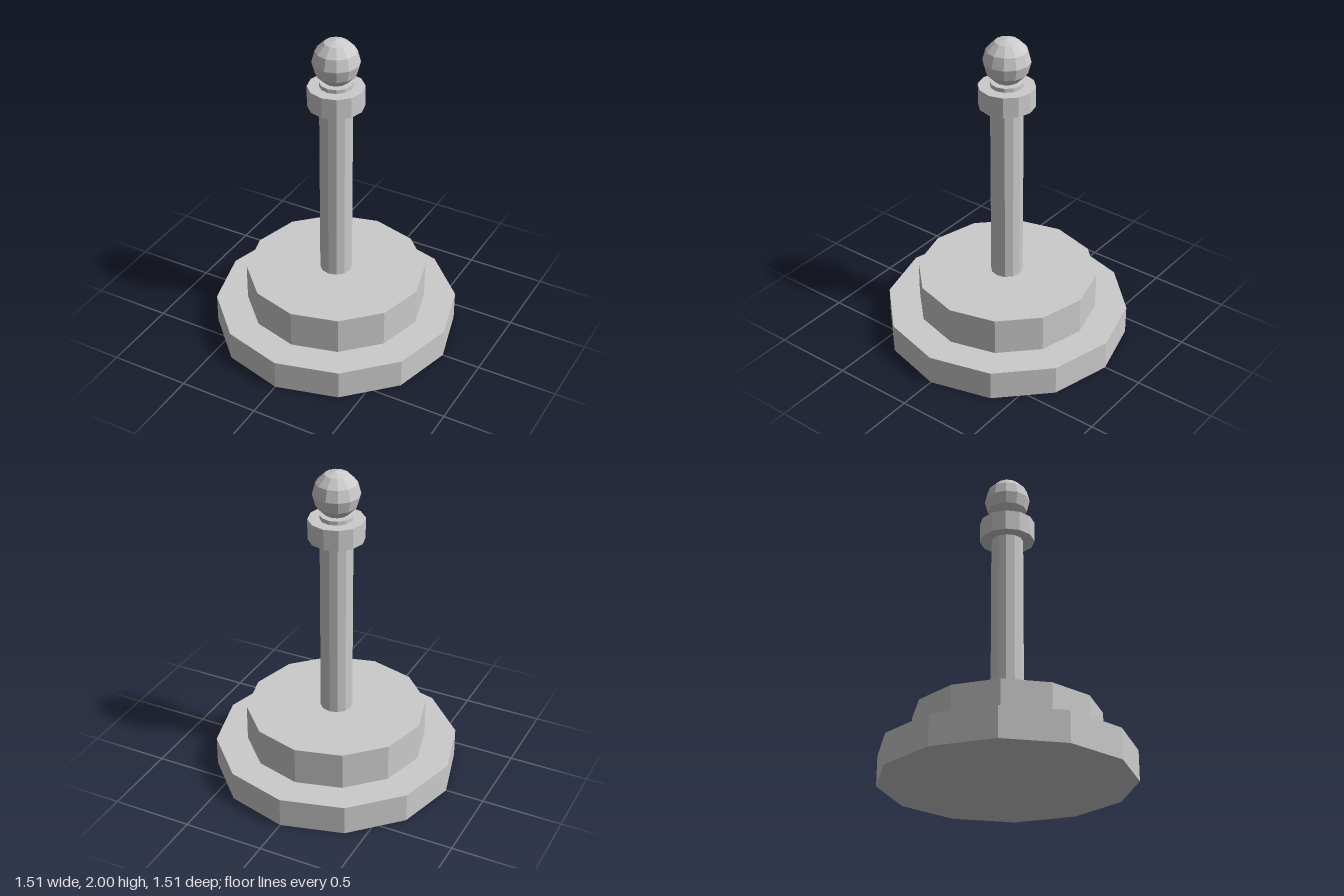
import * as THREE from 'three';

const SIDES = 12;

export function createModel() {
  const group = new THREE.Group();
  const material = new THREE.MeshStandardMaterial({ color: 0xcccccc, flatShading: true });

  const add = (name, geometry, y) => {
    const mesh = new THREE.Mesh(geometry, material);
    mesh.name = name;
    mesh.position.y = y;
    group.add(mesh);
  };

  // Upright twelve-sided drum between two heights
  const drum = (name, radius, bottom, top) =>
    add(name, new THREE.CylinderGeometry(radius, radius, top - bottom, SIDES), (bottom + top) / 2);

  // Stepped plinth
  drum('lowerBase', 0.757, 0, 0.186);
  drum('upperBase', 0.56, 0.186, 0.421);

  // Post with its collar
  drum('post', 0.099, 0.421, 1.727);
  drum('collar', 0.17, 1.574, 1.702);

  // Faceted ball finial
  add('ballFinial', new THREE.SphereGeometry(0.142, SIDES, 6), 1.858);

  return group;
}
